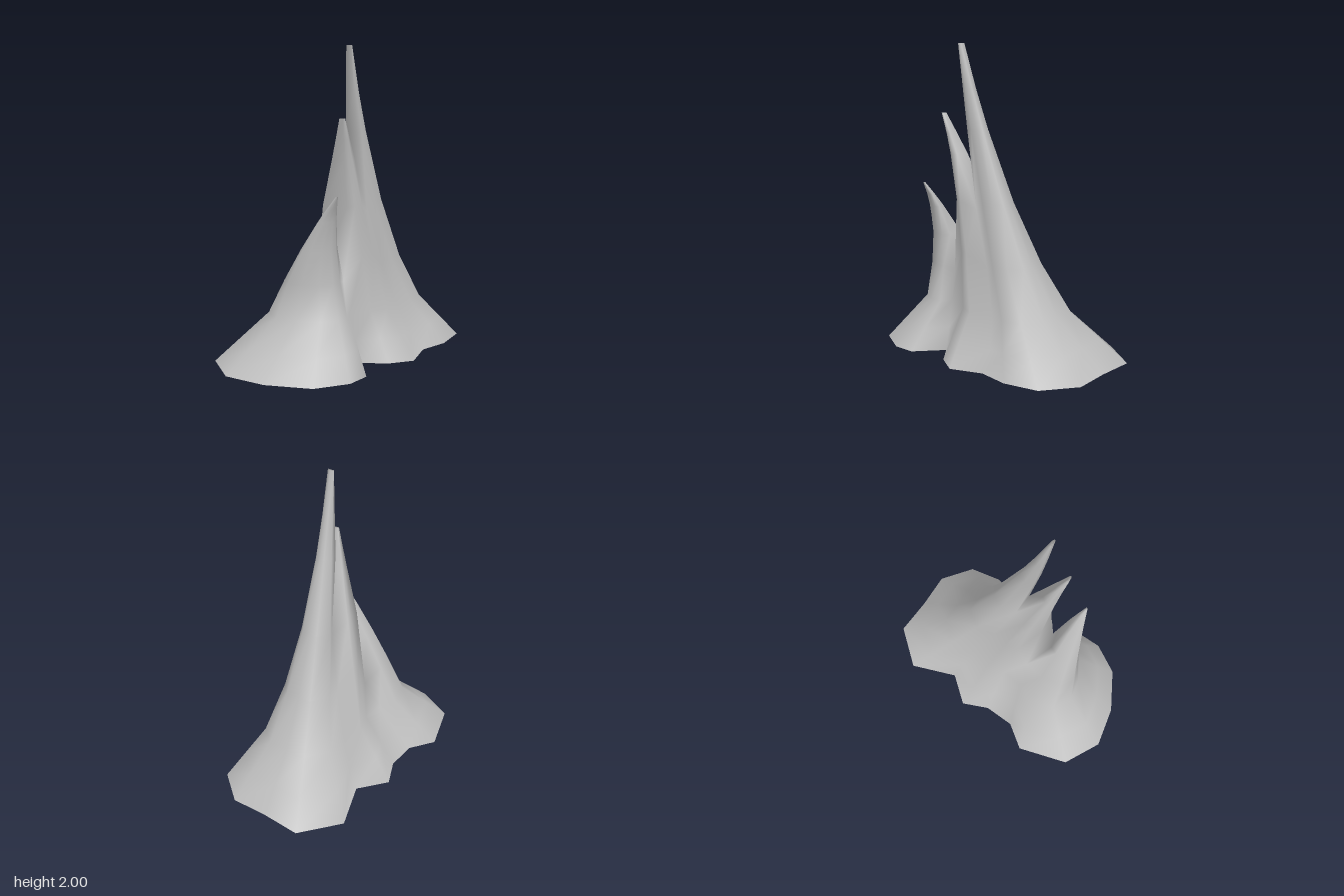
import * as THREE from 'three';
import { mergeGeometries, mergeVertices } from 'three/addons/utils/BufferGeometryUtils.js';

const vec = (x, y, z) => new THREE.Vector3(x, y, z);

// Valley line between two spires, curving from the ground up to the saddle
const valley = (steps, base, bend, saddle) =>
  new THREE.QuadraticBezierCurve3(vec(...base), vec(...bend), vec(...saddle)).getPoints(steps);

// Boxes are [y, xMin, xMax, zMin, zMax]
const lerpBox = (a, b, t) => a.map((v, i) => THREE.MathUtils.lerp(v, b[i], t));

function footBox(feet) {
  const xs = feet.map(([x]) => x);
  const zs = feet.map(([, z]) => z);
  return [0, Math.min(...xs), Math.max(...xs), Math.min(...zs), Math.max(...zs)];
}

// Loft one spire: its ground outline (clockwise from above, points [x, z] or valley lines)
// is squeezed into boxes running straight from foot to knee, then curving past bend to tip.
function spire(outline, knee, bend, tip) {
  const n = outline.length;
  const isValley = (p) => p[0].isVector3;
  const feet = outline.map((p) => (isValley(p) ? [p[0].x, p[0].z] : p));
  const foot = footBox(feet);
  const boxes = [foot, lerpBox(foot, knee, 0.45)];
  for (let t = 0; t <= 1; t += 0.125) {
    // finer steps only towards the tip
    if (t < 0.75 && t % 0.25 !== 0) continue;
    boxes.push(lerpBox(lerpBox(knee, bend, t), lerpBox(bend, tip, t), t));
  }

  const positions = [];
  boxes.forEach(([y, x0, x1, z0, z1], level) => {
    outline.forEach((p, i) => {
      if (isValley(p) && level < p.length) {
        positions.push(...p[level].toArray());
        return;
      }
      const [x, z] = feet[i];
      positions.push(
        THREE.MathUtils.mapLinear(x, foot[1], foot[2], x0, x1), y,
        THREE.MathUtils.mapLinear(z, foot[3], foot[4], z0, z1));
    });
  });

  const index = [];
  const top = (boxes.length - 1) * n;
  for (let i = 0; i < n; i++) {
    const j = (i + 1) % n;
    // between two valleys the wall only starts at the saddle
    const facesNeighbour = isValley(outline[i]) && isValley(outline[j]);
    const start = facesNeighbour ? (outline[i].length - 1) * n : 0;
    for (let row = start; row < top; row += n) {
      const a = row + i;
      const b = row + j;
      index.push(a, a + n, b, b, a + n, b + n);
    }
  }
  // close the tip
  for (let i = 1; i < n - 1; i++) index.push(top, top + i + 1, top + i);

  const geometry = new THREE.BufferGeometry();
  geometry.setAttribute('position', new THREE.Float32BufferAttribute(positions, 3));
  geometry.setIndex(index);
  return geometry;
}

export function createModel() {
  const group = new THREE.Group();
  group.name = 'rockFormation';

  const stone = new THREE.MeshStandardMaterial({ color: 0xbcbcbc, side: THREE.DoubleSide });
  stone.name = 'grey stone';

  // Valleys on both flanks, shared by neighbouring spires
  const backRight = valley(4, [-0.38, 0, -0.29], [-0.235, 0.155, -0.26], [0.05, 0.93, -0.03]);
  const backLeft = valley(4, [0.43, 0, -0.33], [0.21, 0.155, -0.3], [0.19, 0.95, -0.03]);
  const frontRight = valley(3, [-0.41, 0, 0.28], [-0.245, 0.2, 0.215], [-0.08, 0.48, 0.17]);
  const frontLeft = valley(3, [0.31, 0, 0.14], [0.25, 0.2, 0.155], [0.19, 0.52, 0.18]);

  const tallSpire = spire(
    [backRight, [-0.52, -0.59], [-0.34, -0.85], [-0.08, -0.86], [0.17, -0.89], [0.39, -0.75], [0.45, -0.53], backLeft],
    [0.31, -0.245, 0.29, -0.57, -0.21],
    [0.845, 0.03, 0.155, -0.21, 0.02],
    [2, 0.15, 0.2, 0.11, 0.125]);

  const middleSpire = spire(
    [frontRight, [-0.42, 0.07], [-0.51, -0.1], backRight, backLeft, [0.52, -0.13], [0.44, 0.02], frontLeft],
    [0.31, -0.24, 0.315, -0.24, 0.2],
    [1.065, 0.015, 0.2, 0.01, 0.18],
    [1.56, 0.21, 0.25, 0.222, 0.24]);

  const shortSpire = spire(
    [frontLeft, [0.49, 0.28], [0.5, 0.43], [0.4, 0.64], [0.15, 0.81], [-0.12, 0.89], [-0.38, 0.78], [-0.51, 0.45], frontRight],
    [0.31, -0.245, 0.28, 0.16, 0.55],
    [0.795, 0.045, 0.145, 0.21, 0.46],
    [1.1, 0.295, 0.31, 0.343, 0.357]);

  // Fuse the spires into one smooth shell, open underneath
  const shell = mergeVertices(mergeGeometries([tallSpire, middleSpire, shortSpire]), 1e-4);
  shell.computeVertexNormals();
  const mesh = new THREE.Mesh(shell, stone);
  mesh.name = 'rockSpires';
  group.add(mesh);
  return group;
}
